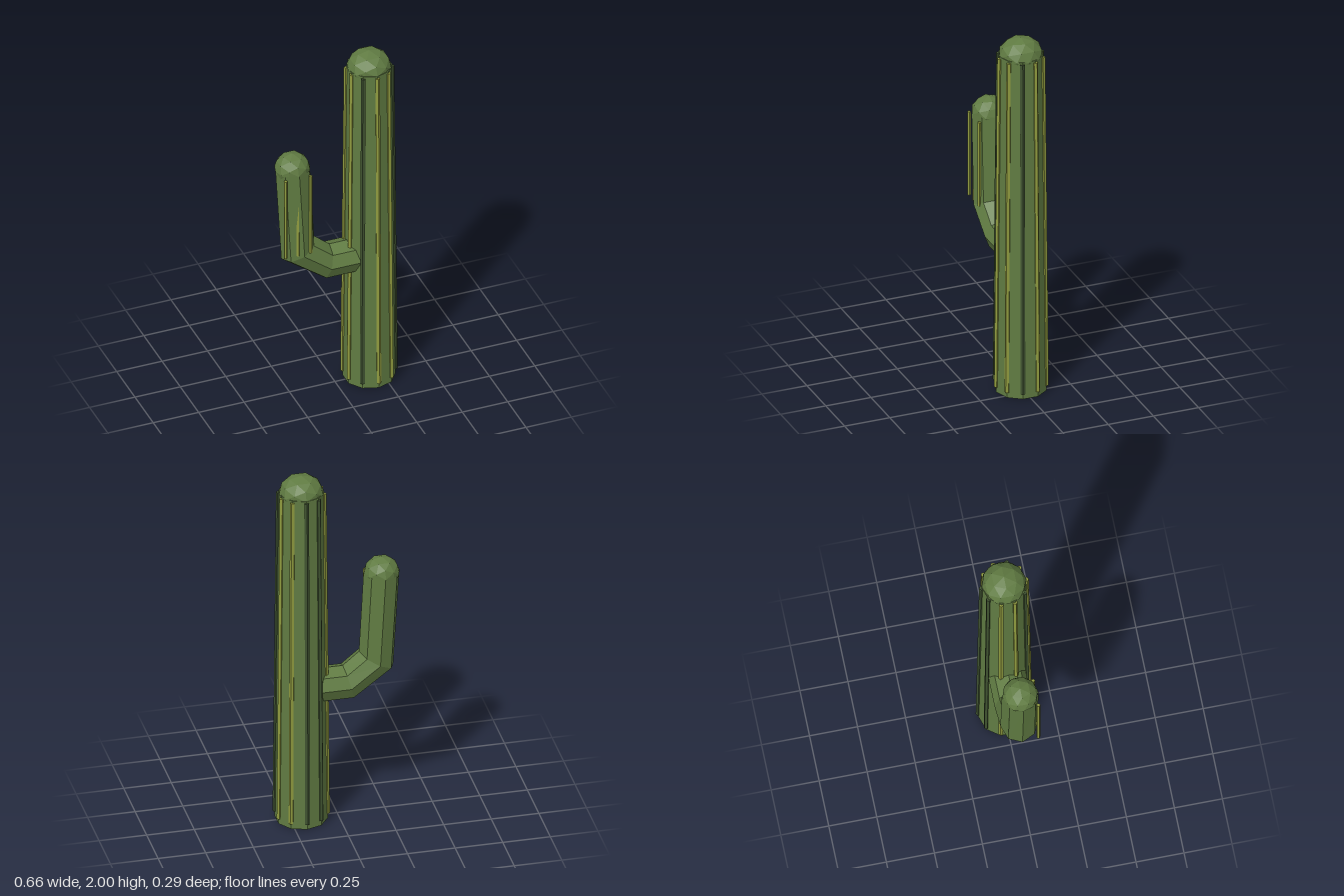
import * as THREE from 'three';

function flatMaterial(name, color) {
  const material = new THREE.MeshStandardMaterial({ color, flatShading: true });
  material.name = name;
  return material;
}
const green = flatMaterial('cactus green', 0x607b42);
const olive = flatMaterial('rib olive', 0x8f9a3e);
const darkGreen = flatMaterial('rib dark green', 0x3f5230);

const TRUNK_X = 0.188;
const DARK_RIBS = [2, 5, 6, 9];

function add(group, name, geometry, material) {
  const mesh = new THREE.Mesh(geometry, material);
  mesh.name = name;
  group.add(mesh);
  return mesh;
}

// Thin five-sided rod between two points
function rib(group, name, from, to, radius, material) {
  const dir = to.clone().sub(from);
  const mesh = add(group, name, new THREE.CylinderGeometry(radius, radius, dir.length(), 5), material);
  mesh.position.copy(from).add(to).multiplyScalar(0.5);
  mesh.quaternion.setFromUnitVectors(new THREE.Vector3(0, 1, 0), dir.normalize());
  return mesh;
}

// Faceted dome
function dome(group, name, x, y, radius, height) {
  const mesh = add(group, name, new THREE.IcosahedronGeometry(radius, 1), green);
  mesh.scale.y = height / radius;
  mesh.position.set(x, y, 0);
}

// Bent arm: eight-sided rings, each [centre x, centre y, half-axis x, half-axis y, depth]
function armGeometry() {
  const rings = [
    [0.13, 0.767, 0, 0.092, 0.097],
    [-0.055, 0.767, 0.025, 0.092, 0.097],
    [-0.205, 0.882, 0.09, 0.048, 0.097],
    [-0.233, 1.385, 0.094, 0.005, 0.096],
  ];
  const sides = 8, positions = [], index = [];
  for (const [x, y, ux, uy, depth] of rings) {
    for (let j = 0; j < sides; j++) {
      const a = (j / sides) * Math.PI * 2;
      positions.push(x + ux * Math.cos(a), y + uy * Math.cos(a), depth * Math.sin(a));
    }
  }
  for (let i = 0; i < rings.length - 1; i++) {
    for (let j = 0; j < sides; j++) {
      const k = (j + 1) % sides;
      const a = i * sides + j, b = a + sides, c = i * sides + k, d = c + sides;
      index.push(a, b, c, c, b, d);
    }
  }
  const geometry = new THREE.BufferGeometry();
  geometry.setAttribute('position', new THREE.Float32BufferAttribute(positions, 3));
  geometry.setIndex(index);
  const flat = geometry.toNonIndexed();
  flat.computeVertexNormals();
  return flat;
}

export function createModel() {
  const model = new THREE.Group();
  model.name = 'cactus';

  // Tapered trunk and its cap
  const trunk = add(model, 'trunk', new THREE.CylinderGeometry(0.117, 0.136, 1.91, 10), green);
  trunk.position.set(TRUNK_X, 0.955, 0);
  dome(model, 'trunkCap', TRUNK_X, 1.905, 0.116, 0.095);

  // Ribs along the trunk corners, a few of them darker
  for (let i = 0; i < 10; i++) {
    const a = (i / 10) * Math.PI * 2;
    const at = (r, y) => new THREE.Vector3(TRUNK_X + r * Math.sin(a), y, r * Math.cos(a));
    const material = DARK_RIBS.includes(i) ? darkGreen : olive;
    rib(model, 'trunkRib', at(0.134, 0.03), at(0.1165, 1.9), 0.013, material).rotateY(a);
  }

  // Side arm and its cap
  add(model, 'arm', armGeometry(), green);
  dome(model, 'armCap', -0.235, 1.382, 0.093, 0.088);

  // Upright ribs in front of the arm
  for (const x of [-0.303, -0.235, -0.167]) {
    rib(model, 'armRib', new THREE.Vector3(x, 0.89, 0.081), new THREE.Vector3(x, 1.365, 0.081), 0.01, olive);
  }

  return model;
}
